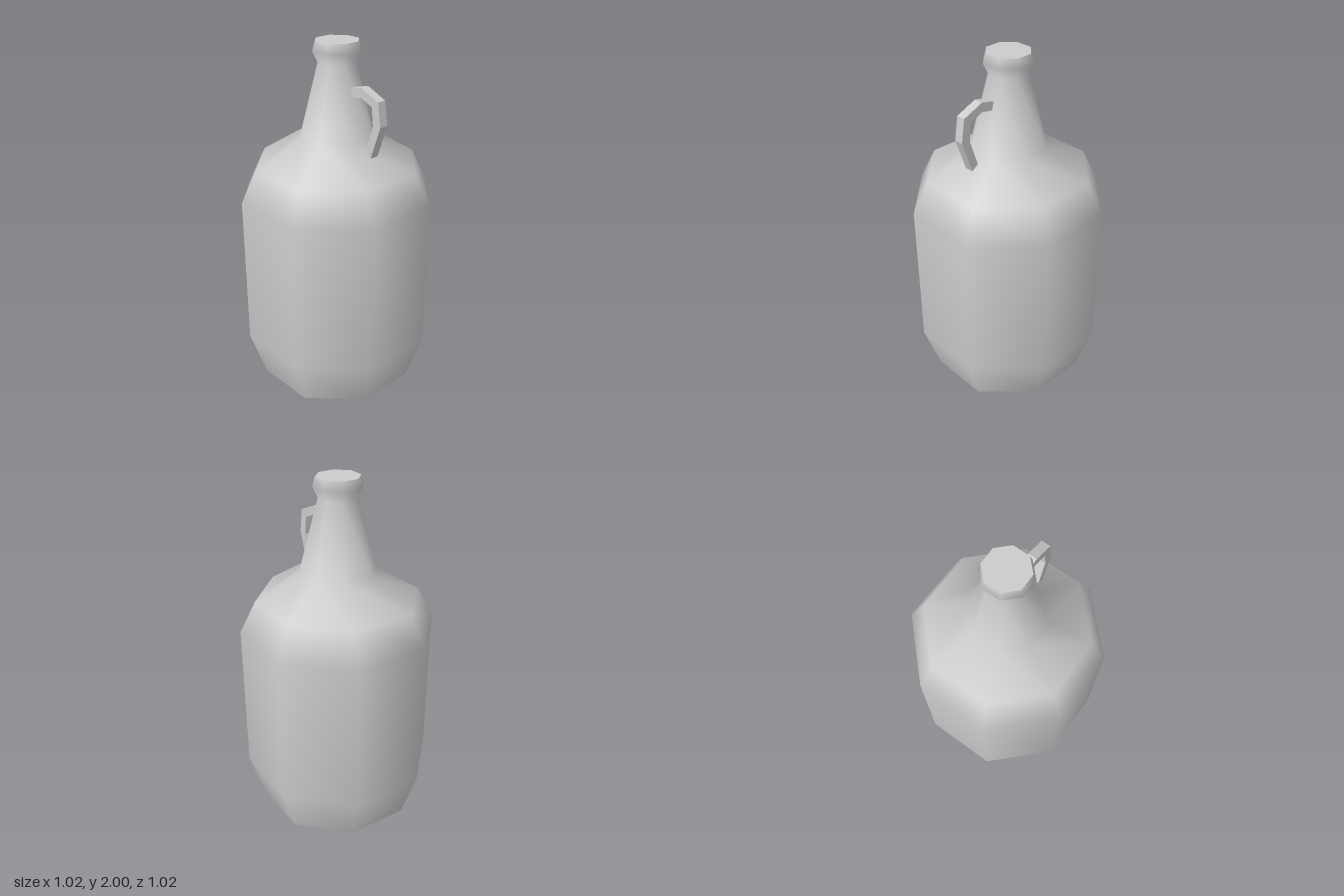
import * as THREE from 'three';

export function createModel() {
  const group = new THREE.Group();
  const material = new THREE.MeshStandardMaterial({ color: 0xcccccc });
  const add = (name, geometry) => {
    const mesh = new THREE.Mesh(geometry, material);
    mesh.name = name;
    group.add(mesh);
    return mesh;
  };

  // Eight-sided jug with flats facing the axes; radii are given to the flats
  const SIDES = 8;
  const toCorner = 1 / Math.cos(Math.PI / SIDES);
  const profile = [
    [0.428, 0], [0.512, 0.28], [0.512, 1.15], [0.428, 1.33],
    [0.2, 1.485], [0.1, 1.89], [0.127, 1.95], [0.113, 2],
  ].map(([r, y]) => new THREE.Vector2(r * toCorner, y));
  add('jugBody', new THREE.LatheGeometry(profile, SIDES, Math.PI / SIDES));

  // Flat discs closing the base and the mouth
  const disc = (point, facing) => new THREE.CircleGeometry(point.x, SIDES, Math.PI / SIDES)
    .rotateX(-facing * Math.PI / 2)
    .translate(0, point.y, 0);
  add('base', disc(profile[0], -1));
  add('mouthCap', disc(profile[profile.length - 1], 1));

  // Angular strap handle from neck to shoulder, outlined in (z, y)
  const outline = [
    [0.12, 1.77], [0.21, 1.79], [0.33, 1.74], [0.35, 1.61], [0.285, 1.42],
    [0.245, 1.445], [0.298, 1.605], [0.287, 1.705], [0.21, 1.737], [0.12, 1.722],
  ].map(([z, y]) => new THREE.Vector2(z, y));
  const width = 0.052;
  const handle = new THREE.ExtrudeGeometry(new THREE.Shape(outline), { depth: width, bevelEnabled: false });
  add('handle', handle.translate(0, 0, -width / 2).rotateY(-Math.PI / 2));

  return group;
}
